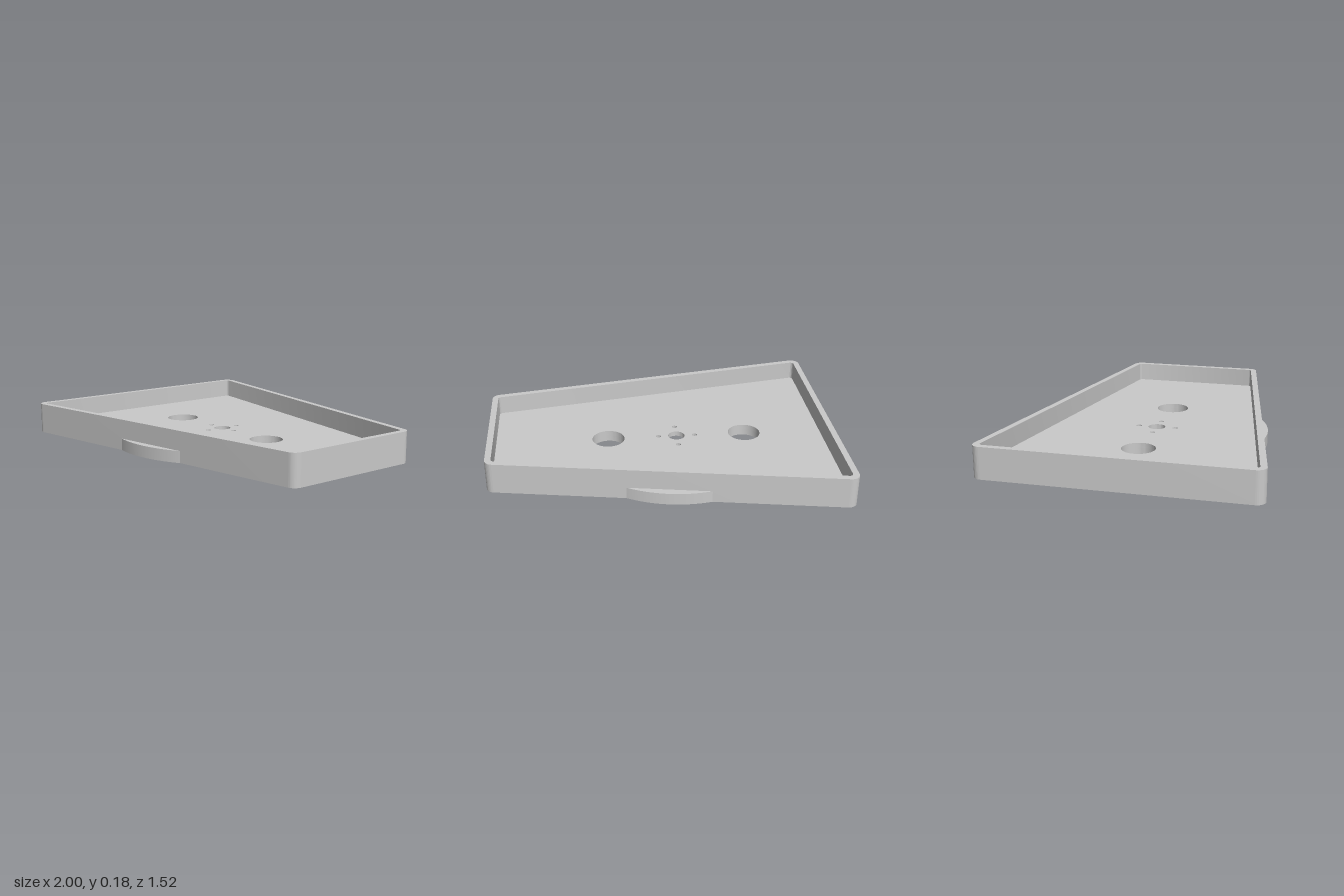
import * as THREE from 'three';
import { toCreasedNormals } from 'three/addons/utils/BufferGeometryUtils.js';

const SLOPE = 0.176;       // taper of the long sides
const HALF = 0.594;        // half depth at x = 0
const WALL = 0.035;        // rim thickness
const HEIGHT = 0.178;
const FLOOR = 0.067;
const RECESS = 0.038;      // depth of the round pocket underneath
const HUB_X = -0.1;

// Rounded trapezoid, inset by d, with corner radius r, counter-clockwise
function outline(d, r, Type = THREE.Shape) {
  const s = new Type();
  const a = Math.PI / 2 - Math.atan(SLOPE);
  const off = d + r;
  const xl = -1 + off, xr = 1 - off;
  const zAt = (x) => HALF - SLOPE * x - off * Math.hypot(1, SLOPE);
  s.absarc(xl, -zAt(xl), r, -Math.PI, -a, false);
  s.absarc(xr, -zAt(xr), r, -a, 0, false);
  s.absarc(xr, zAt(xr), r, 0, a, false);
  s.absarc(xl, zAt(xl), r, a, Math.PI, false);
  s.closePath();
  return s;
}

function circle(x, z, r) {
  return new THREE.Path().absarc(x, z, r, 0, Math.PI * 2, false);
}

// Flat shape raised from y0 to y1
function slab(name, shape, y0, y1, material) {
  let g = new THREE.ExtrudeGeometry(shape, { depth: y1 - y0, bevelEnabled: false, curveSegments: 32 });
  g.rotateX(-Math.PI / 2);
  g.translate(0, y0, 0);
  g = toCreasedNormals(g, 0.5);
  const mesh = new THREE.Mesh(g, material);
  mesh.name = name;
  return mesh;
}

export function createModel() {
  const group = new THREE.Group();
  group.name = 'taperedTray';
  const grey = new THREE.MeshStandardMaterial({ color: 0xcacaca });
  grey.name = 'lightGrey';

  // Rim wall, full height
  const rim = outline(0, 0.05);
  rim.holes.push(outline(WALL, 0.02, THREE.Path));
  group.add(slab('rimWall', rim, 0, HEIGHT, grey));

  // Floor in two layers: the lower one holds the round pocket
  const bigHoles = () => [-0.507, 0.305].map((x) => circle(x, 0, 0.095));
  const lower = outline(WALL, 0.02);
  lower.holes.push(...bigHoles(), circle(HUB_X, 0, 0.175));
  group.add(slab('lowerFloor', lower, 0, RECESS, grey));

  // Upper layer has the hub hole and four screw holes
  const upper = outline(WALL, 0.02);
  upper.holes.push(...bigHoles(), circle(HUB_X, 0, 0.049));
  for (let i = 0; i < 4; i++) {
    const a = i * Math.PI / 2;
    upper.holes.push(circle(HUB_X + 0.108 * Math.cos(a), 0.108 * Math.sin(a), 0.015));
  }
  group.add(slab('upperFloor', upper, RECESS, FLOOR, grey));

  // Curved lugs bulging from the long sides, their chords hidden in the wall
  const R = 0.646;
  const a0 = Math.acos(0.36 / R), a1 = Math.acos(-0.15 / R);
  for (const side of [1, -1]) {
    const lug = new THREE.Shape();
    lug.absarc(HUB_X, 0, R, side * a0, side * a1, side < 0);
    lug.closePath();
    group.add(slab(side > 0 ? 'backLug' : 'frontLug', lug, 0, FLOOR, grey));
  }
  return group;
}
